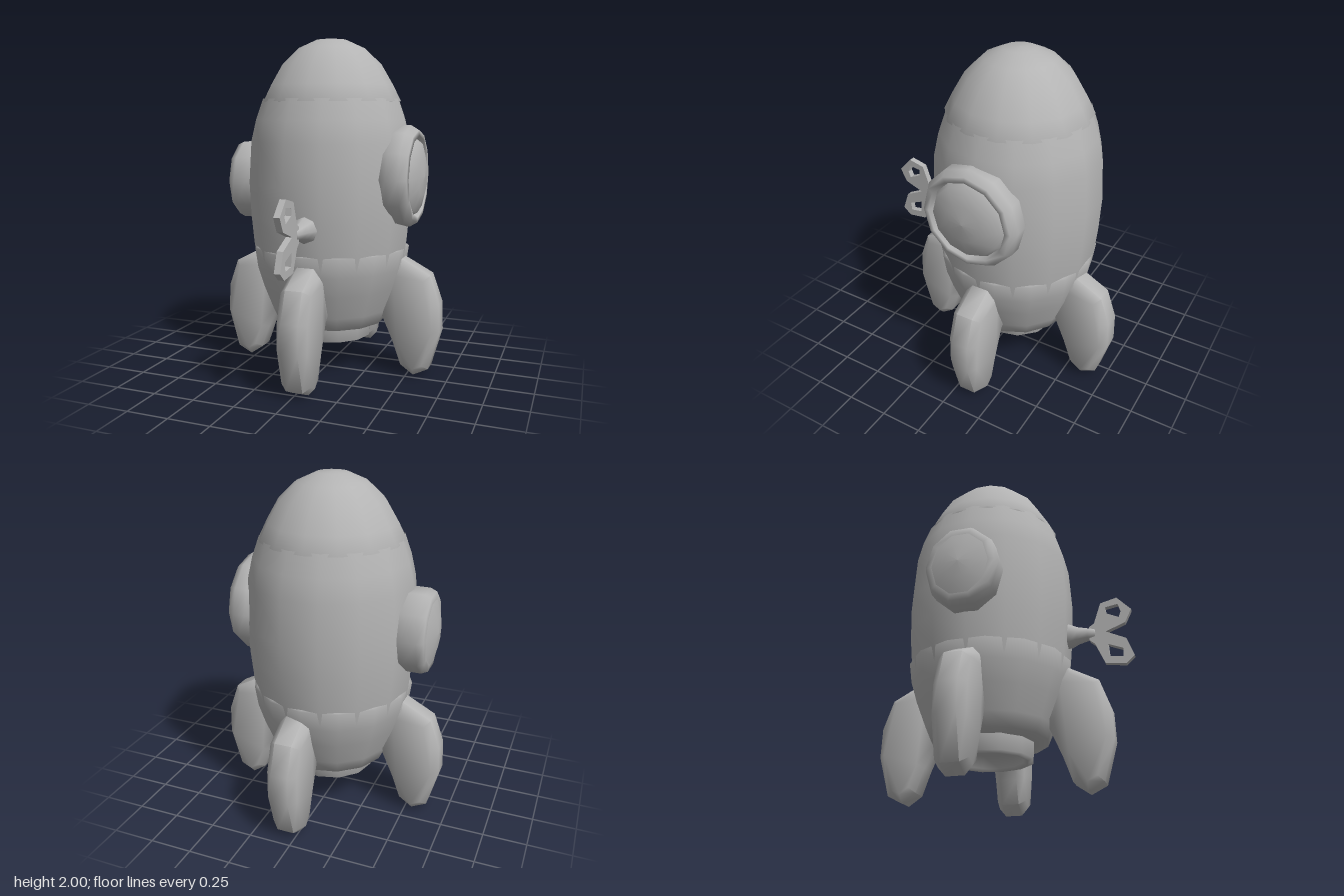
import * as THREE from 'three';
import { toCreasedNormals } from 'three/addons/utils/BufferGeometryUtils.js';

const vec = (pts) => pts.map(([x, y]) => new THREE.Vector2(x, y));

export function createModel() {
  const model = new THREE.Group();
  model.name = 'toyRocket';
  const grey = new THREE.MeshStandardMaterial({ color: 0xb4b4b4, side: THREE.DoubleSide });
  grey.name = 'plain grey';

  const CZ = -0.085; // the hull axis sits a little behind the origin

  const add = (name, geometry, parent = model) => {
    const mesh = new THREE.Mesh(geometry, grey);
    mesh.name = name;
    parent.add(mesh);
    return mesh;
  };
  const lathe = (pts, sides, turn = 0) => new THREE.LatheGeometry(vec(pts), sides, turn);

  // Hull: three overlapping shells, profiles run from bottom to top
  const SIDES = 14;
  const hull = new THREE.Group();
  hull.name = 'hull';
  hull.position.z = CZ;
  model.add(hull);
  add('lowerHull', lathe([
    [0, 0.3], [0.24, 0.3], [0.335, 0.31], [0.37, 0.39], [0.425, 0.53],
    [0.462, 0.65], [0.478, 0.765], [0.45, 0.772],
  ], SIDES), hull);
  add('middleHull', lathe([
    [0.455, 0.68], [0.472, 0.78], [0.488, 0.95], [0.497, 1.15],
    [0.482, 1.4], [0.452, 1.53], [0.41, 1.65],
  ], SIDES, Math.PI / SIDES), hull);
  add('noseCone', lathe([
    [0.39, 1.63], [0.417, 1.635], [0.37, 1.73], [0.3, 1.85],
    [0.2, 1.945], [0.09, 1.995], [0, 2.0],
  ], SIDES), hull);

  // Exhaust nozzle: hollow ring under the hull
  add('nozzle', lathe([
    [0, 0.29], [0.17, 0.28], [0.19, 0.215], [0.215, 0.2], [0.25, 0.21], [0.255, 0.31],
  ].map(([r, y]) => [r, y]), 12), hull);

  // Fins: one rounded blade, repeated on four sides
  const finShape = new THREE.Shape(vec([
    [0.34, 0.36], [0.41, 0.2], [0.46, 0.06], [0.54, 0.005], [0.63, 0.05],
    [0.695, 0.28], [0.69, 0.45], [0.63, 0.62], [0.46, 0.71], [0.38, 0.64], [0.28, 0.42],
  ]));
  const finGeometry = new THREE.ExtrudeGeometry(finShape, {
    depth: 0.1, bevelEnabled: true, bevelThickness: 0.04, bevelSize: 0.04,
    bevelOffset: -0.04, bevelSegments: 1,
  });
  finGeometry.translate(0, 0, -0.05);
  const finSmooth = toCreasedNormals(finGeometry, 0.9);
  [
    ['leftFin', 0, 0, CZ - 0.01],
    ['frontFin', -Math.PI / 2, 0.02, CZ + 0.01],
    ['rightFin', Math.PI, 0, CZ - 0.01],
    ['backFin', Math.PI / 2, 0.05, CZ + 0.02],
  ].forEach(([name, turn, x, z]) => {
    const fin = add(name, finSmooth);
    fin.rotation.y = turn;
    fin.position.set(x, 0, z);
  });

  // Large porthole: deep rim with a domed pane set inside
  const large = new THREE.Group();
  large.name = 'largePorthole';
  large.rotation.z = -Math.PI / 2;
  large.position.set(0, 1.2, -0.07);
  model.add(large);
  add('largeRim', lathe([
    [0.27, 0.38], [0.297, 0.43], [0.297, 0.5], [0.27, 0.545], [0.238, 0.548], [0.225, 0.5],
  ], 12), large);
  add('largePane', lathe([[0.235, 0.5], [0.21, 0.545], [0.11, 0.575], [0, 0.585]], 12), large);

  // Small porthole: shallow oval rim with a nearly flush pane
  const small = new THREE.Group();
  small.name = 'smallPorthole';
  small.rotation.z = Math.PI / 2;
  small.position.set(0, 1.15, -0.085);
  small.scale.z = 0.85;
  model.add(small);
  add('smallRim', lathe([
    [0.23, 0.42], [0.247, 0.48], [0.247, 0.56], [0.23, 0.598], [0.19, 0.603],
  ], 10), small);
  add('smallPane', lathe([[0.19, 0.603], [0.1, 0.628], [0, 0.637]], 10), small);

  // Wind-up key: flat double-loop handle on a flared shaft
  const key = new THREE.Group();
  key.name = 'windUpKey';
  model.add(key);
  const handle = new THREE.Shape(vec([
    [0.51, 0.88], [0.54, 0.855], [0.594, 0.73], [0.71, 0.716], [0.76, 0.76], [0.72, 0.87],
    [0.605, 0.925], [0.72, 0.97], [0.76, 1.05], [0.68, 1.135], [0.583, 1.11],
    [0.54, 0.985], [0.51, 0.965],
  ]));
  [
    [[0.615, 1.04], [0.685, 1.008], [0.7, 1.045], [0.684, 1.093], [0.61, 1.08]],
    [[0.615, 0.845], [0.7, 0.81], [0.695, 0.76], [0.62, 0.77]],
  ].forEach((hole) => handle.holes.push(new THREE.Path(vec(hole))));
  const handleGeometry = new THREE.ExtrudeGeometry(handle, { depth: 0.036, bevelEnabled: false });
  handleGeometry.translate(0, 0, -0.018);
  const handleMesh = add('keyHandle', handleGeometry, key);
  handleMesh.rotation.y = -Math.PI / 2;
  handleMesh.position.x = 0.02;
  const shaft = add('keyShaft', lathe([
    [0.078, 0.34], [0.075, 0.4], [0.055, 0.44], [0.04, 0.5], [0.03, 0.54], [0, 0.55],
  ], 8), key);
  shaft.rotation.x = Math.PI / 2;
  shaft.position.set(0.018, 0.925, 0);

  return model;
}
